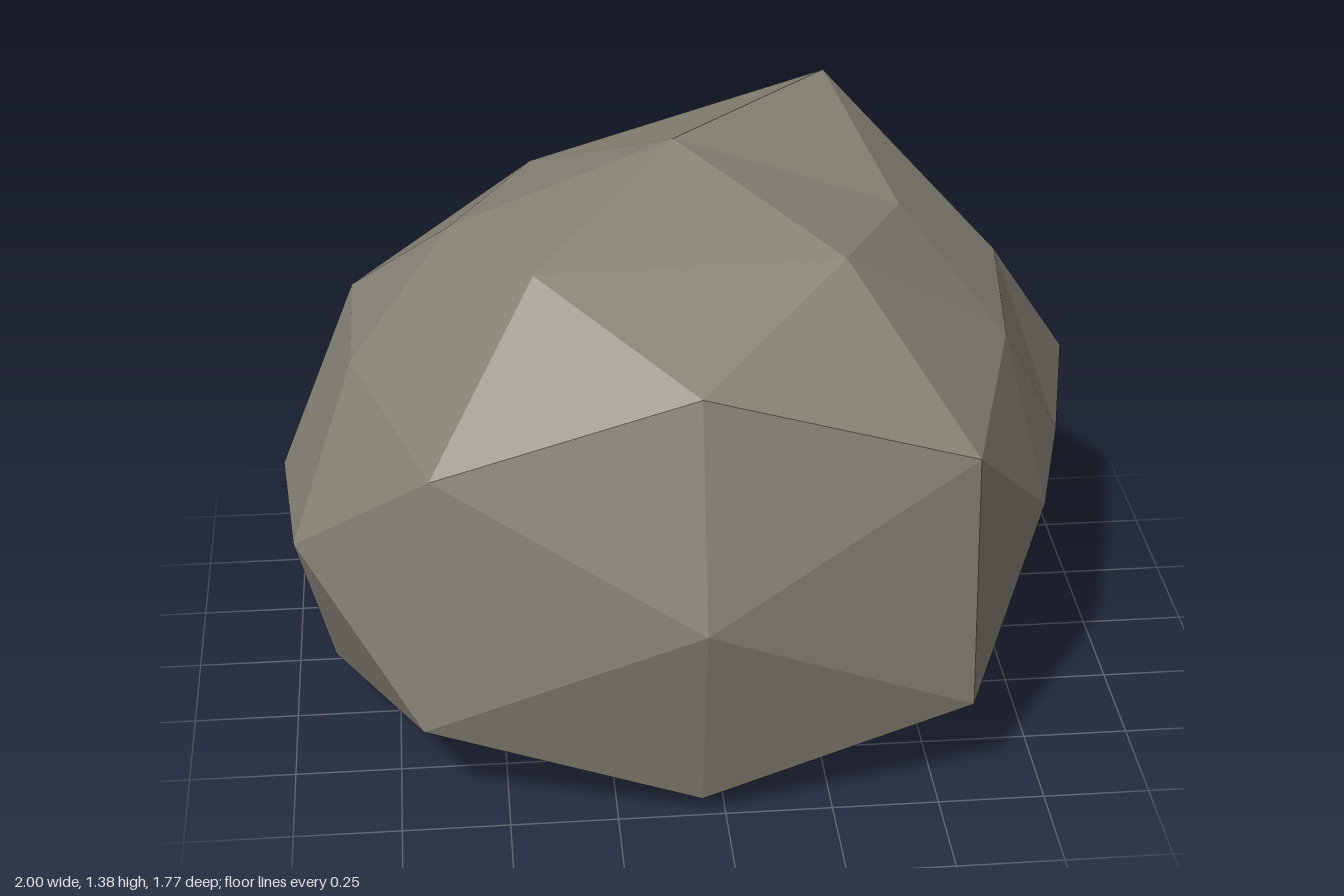
import * as THREE from 'three';

// Bulges and dents: direction x, y, z and the radius there
const BUMPS = [
  // crown
  [0, 1, 0, 0.823], [-0.526, 0.851, 0, 0.70], [0.526, 0.851, 0, 0.715],
  [0.309, 0.809, 0.5, 0.808], [-0.309, 0.809, 0.5, 0.785],
  [0.309, 0.809, -0.5, 0.935], [-0.309, 0.809, -0.5, 0.73],
  // sides
  [0.851, 0, -0.526, 0.865], [0.851, 0, 0.526, 0.70], [-0.851, 0, 0.526, 0.755],
  [0.809, 0.5, -0.309, 0.705], [0.809, -0.5, -0.309, 0.83], [-0.809, -0.5, 0.309, 0.73],
  // front and back corners
  [0.5, 0.309, 0.809, 0.875], [-0.5, 0.309, 0.809, 0.836],
  [-0.5, 0.309, -0.809, 0.70], [-0.5, -0.309, -0.809, 0.825],
  // underside
  [-0.526, -0.851, 0, 0.70], [0.526, -0.851, 0, 0.715],
];

function radiusAt(d) {
  for (const [x, y, z, r] of BUMPS) {
    if (d.x * x + d.y * y + d.z * z > 0.99) return r;
  }
  const ax = Math.abs(d.x), ay = Math.abs(d.y), az = Math.abs(d.z);
  if (az > ax && az > ay) return 0.887;
  return ax > ay ? 0.665 : 0.75;
}

export function createModel() {
  const stone = new THREE.MeshStandardMaterial({ color: 0x858275 });
  stone.name = 'stone';
  stone.flatShading = true;

  // Faceted ball, stretched and dented, with its underside pressed flat
  const geometry = new THREE.IcosahedronGeometry(1, 1);
  const pos = geometry.attributes.position;
  const d = new THREE.Vector3();
  for (let i = 0; i < pos.count; i++) {
    d.fromBufferAttribute(pos, i).normalize();
    const r = radiusAt(d);
    const rise = r * d.y * (1.26 - 0.27 * Math.abs(d.y));
    pos.setXYZ(i, -0.055 + 1.43 * r * d.x, Math.max(0, 0.57 + rise), r * d.z);
  }
  geometry.computeVertexNormals();

  const boulder = new THREE.Mesh(geometry, stone);
  boulder.name = 'boulder';
  const group = new THREE.Group();
  group.name = 'rock';
  group.add(boulder);
  return group;
}
